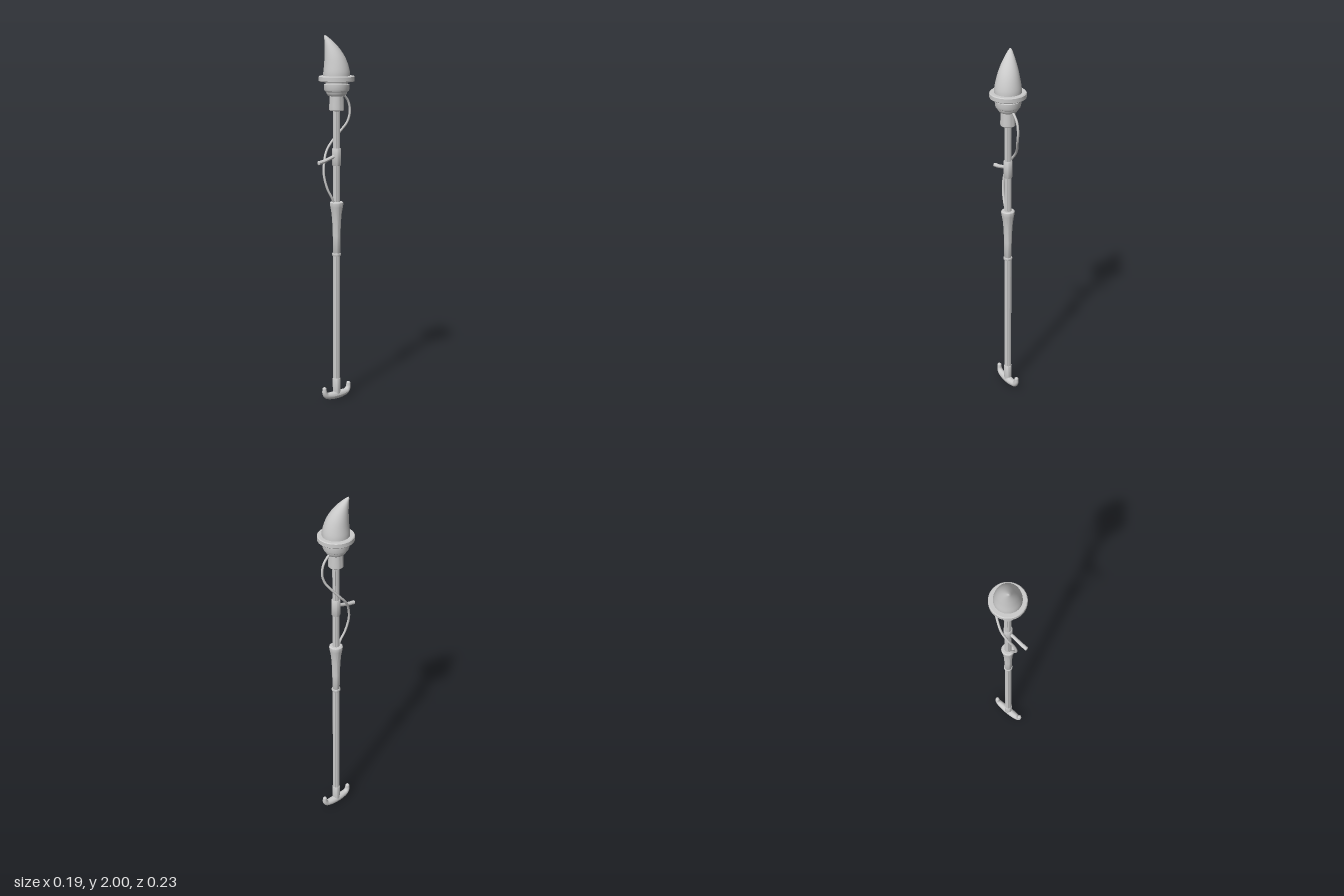
import * as THREE from 'three';
import { mergeVertices, toCreasedNormals } from 'three/addons/utils/BufferGeometryUtils.js';

const material = new THREE.MeshStandardMaterial({ color: 0xcccccc, side: THREE.DoubleSide });
const v3 = (p) => new THREE.Vector3(...p);

function part(parent, name, geometry) {
  const mesh = new THREE.Mesh(geometry, material);
  mesh.name = name;
  parent.add(mesh);
  return mesh;
}

// Turned part from [radius, y] pairs listed bottom to top
function turned(profile, sides = 32) {
  const points = profile.map(([r, y]) => new THREE.Vector2(r, y));
  return toCreasedNormals(new THREE.LatheGeometry(points, sides), 0.55);
}

// Tube whose radius follows a function of u
function taperedTube(curve, segments, sides, radiusAt) {
  const geometry = new THREE.TubeGeometry(curve, segments, 1, sides);
  const pos = geometry.attributes.position;
  const v = new THREE.Vector3();
  for (let i = 0; i < pos.count; i++) {
    const u = Math.floor(i / (sides + 1)) / segments;
    const centre = curve.getPointAt(u);
    v.fromBufferAttribute(pos, i).sub(centre).multiplyScalar(radiusAt(u)).add(centre);
    pos.setXYZ(i, v.x, v.y, v.z);
  }
  geometry.computeVertexNormals();
  return geometry;
}

// Rounded flame, its tip swept diagonally forward to one side
function flameGeometry() {
  const outline = new THREE.SplineCurve([
    [0.072, 1.78], [0.071, 1.805], [0.065, 1.84], [0.056, 1.88], [0.045, 1.915],
    [0.033, 1.945], [0.021, 1.97], [0.009, 1.991], [0, 2.0],
  ].map(([r, y]) => new THREE.Vector2(r, y)));
  let geometry = new THREE.LatheGeometry(outline.getPoints(32), 40);
  const pos = geometry.attributes.position;
  for (let i = 0; i < pos.count; i++) {
    const t = THREE.MathUtils.clamp((pos.getY(i) - 1.785) / 0.215, 0, 1);
    const shift = 0.045 * Math.pow(t, 2.4);
    pos.setX(i, pos.getX(i) - shift);
    pos.setZ(i, pos.getZ(i) + shift);
  }
  geometry.deleteAttribute('uv');
  geometry.deleteAttribute('normal');
  geometry = mergeVertices(geometry, 1e-5);
  geometry.computeVertexNormals();
  return geometry;
}

// Round pole with four shallow lengthwise grooves
function poleGeometry() {
  const shape = new THREE.Shape();
  const steps = 48;
  for (let i = 0; i <= steps; i++) {
    const a = (i / steps) * Math.PI * 2;
    const r = i % 12 === 6 ? 0.0155 : 0.019;
    shape[i ? 'lineTo' : 'moveTo'](r * Math.cos(a), r * Math.sin(a));
  }
  const geometry = new THREE.ExtrudeGeometry(shape, { depth: 1.53, bevelEnabled: false });
  geometry.rotateX(-Math.PI / 2).translate(0, 0.09, 0);
  return toCreasedNormals(geometry, 0.4);
}

export function createModel() {
  const root = new THREE.Group();
  root.name = 'torchStaff';
  const staff = new THREE.Group();
  staff.name = 'staff';
  staff.position.z = -0.013;
  root.add(staff);

  part(staff, 'flame', flameGeometry());
  part(staff, 'pole', poleGeometry());

  // Head: socket, stepped cup and wide rim
  part(staff, 'socket', turned([
    [0, 1.6], [0.036, 1.6], [0.04, 1.604], [0.04, 1.625], [0.037, 1.68], [0.037, 1.69],
  ]));
  part(staff, 'cup', turned([
    [0.034, 1.678], [0.046, 1.68], [0.054, 1.69], [0.056, 1.7], [0.064, 1.705],
    [0.068, 1.715], [0.068, 1.74], [0.06, 1.742], [0.06, 1.758],
  ], 40));
  part(staff, 'rim', turned([
    [0, 1.755], [0.092, 1.755], [0.096, 1.759], [0.096, 1.781], [0.092, 1.785], [0, 1.785],
  ], 48));

  // Flared hand grip and its end ring
  part(staff, 'grip', turned([
    [0.018, 0.815], [0.02, 0.82], [0.021, 0.92], [0.024, 1.0], [0.028, 1.045],
    [0.034, 1.08], [0.037, 1.098], [0.036, 1.105], [0.031, 1.109], [0, 1.109],
  ]));
  part(staff, 'gripRing', turned([
    [0.018, 0.81], [0.023, 0.811], [0.024, 0.814], [0.024, 0.823], [0.023, 0.826], [0.018, 0.827],
  ]));

  // Sliding clamp with a lever sticking out in front
  part(staff, 'clamp', turned([
    [0.018, 1.305], [0.022, 1.305], [0.024, 1.31], [0.024, 1.395], [0.022, 1.4], [0.018, 1.4],
  ]));
  const leverPath = new THREE.CatmullRomCurve3(
    [[0, 1.358, 0.012], [0, 1.345, 0.055], [0, 1.335, 0.09], [0, 1.329, 0.126]].map(v3));
  part(staff, 'lever', taperedTube(leverPath, 12, 12, (u) => 0.009 + 0.002 * u));
  const leverEnd = part(staff, 'leverEnd', new THREE.SphereGeometry(0.011, 14, 10));
  leverEnd.position.set(0, 1.329, 0.126);
  leverEnd.scale.z = 0.3;

  // Loose cord from the cup, around the pole and down into the grip
  const cordPath = new THREE.CatmullRomCurve3([
    [0, 1.692, -0.03], [0, 1.68, -0.052], [0, 1.645, -0.083], [0, 1.59, -0.094],
    [-0.006, 1.535, -0.08], [-0.022, 1.495, -0.055], [-0.044, 1.435, -0.008],
    [-0.044, 1.385, 0.033], [-0.03, 1.325, 0.062], [-0.02, 1.26, 0.073],
    [-0.008, 1.18, 0.057], [0, 1.13, 0.032], [0, 1.1, 0.02],
  ].map(v3));
  part(staff, 'cord', new THREE.TubeGeometry(cordPath, 100, 0.0065, 10));

  // Foot: ferrule flaring into a double upturned hook
  const foot = new THREE.Group();
  foot.name = 'foot';
  staff.add(foot);
  part(foot, 'ferrule', turned([
    [0.02, 0.02], [0.021, 0.05], [0.022, 0.116], [0.02, 0.12], [0, 0.12],
  ]));
  const half = [[0.088, 0.07], [0.086, 0.048], [0.073, 0.031], [0.04, 0.024]];
  const hookPath = new THREE.CatmullRomCurve3([
    ...half.map(([z, y]) => [0, y, z]), [0, 0.023, 0],
    ...half.map(([z, y]) => [0, y, -z]).reverse(),
  ].map(v3));
  part(foot, 'hook', taperedTube(hookPath, 56, 18,
    (u) => 0.012 + 0.01 * Math.pow(Math.sin(u * Math.PI), 1.3)));
  for (const side of [1, -1]) {
    part(foot, 'hookTip', new THREE.SphereGeometry(0.012, 18, 12)).position.set(0, 0.07, side * 0.088);
  }
  return root;
}
